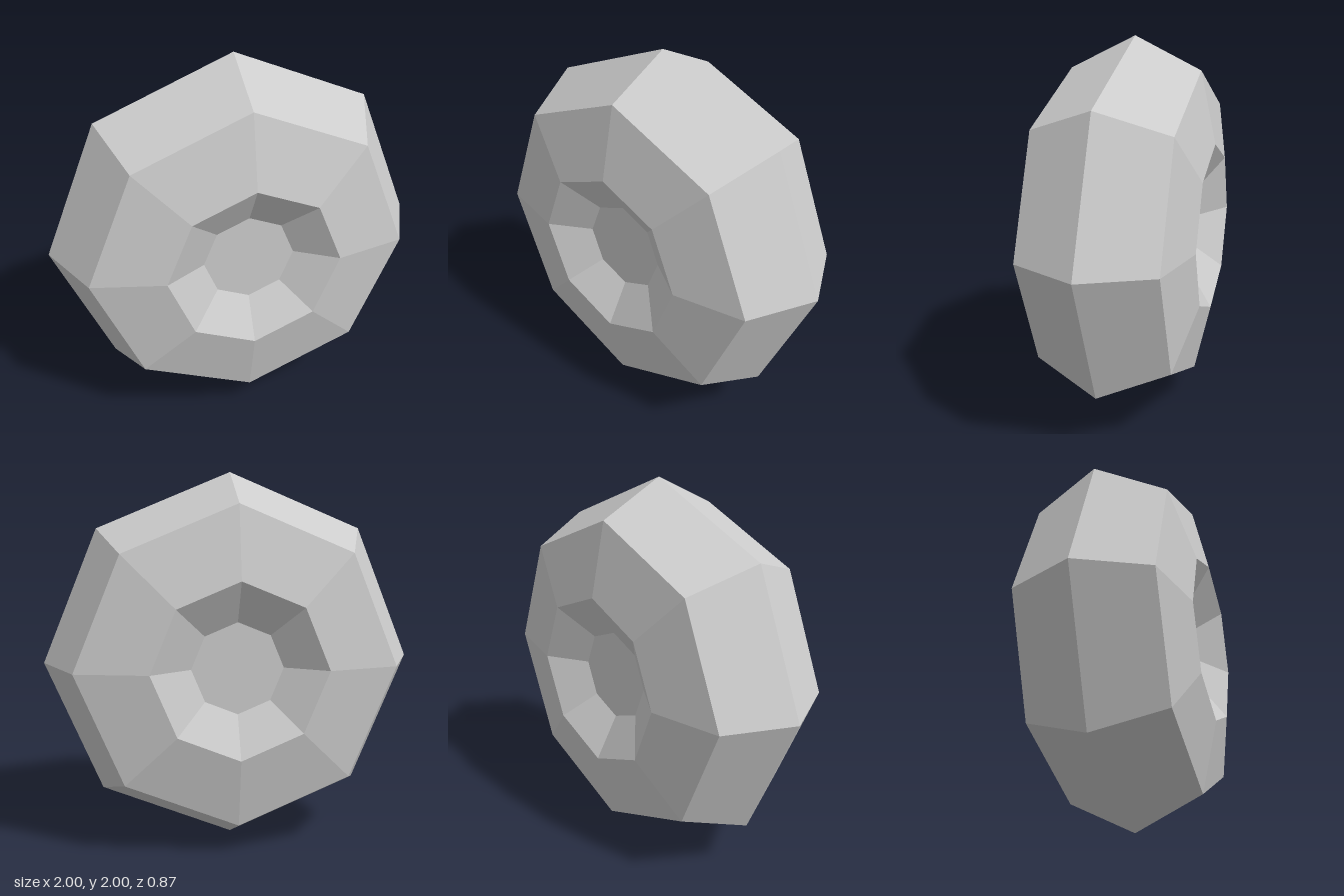
import * as THREE from 'three';

export function createModel() {
  const group = new THREE.Group();
  group.name = 'octagonalWheel';

  // Half profile as [radius, depth]: dish floor, dish rim, shoulder
  const half = [[0, 0.305], [0.24, 0.305], [0.455, 0.433], [0.83, 0.35]];
  const profile = [
    ...half.map(([r, d]) => new THREE.Vector2(r, -d)),
    new THREE.Vector2(1, 0), // outer ridge
    ...half.map(([r, d]) => new THREE.Vector2(r, d)).reverse(),
  ];

  // Eight-sided wheel, turned so its axis points to the front
  const geometry = new THREE.LatheGeometry(profile, 8);
  geometry.rotateX(Math.PI / 2);
  const wheel = new THREE.Mesh(
    geometry,
    new THREE.MeshStandardMaterial({ color: 0xcccccc, flatShading: true })
  );
  wheel.name = 'wheel';
  wheel.position.y = 1;
  group.add(wheel);
  return group;
}
